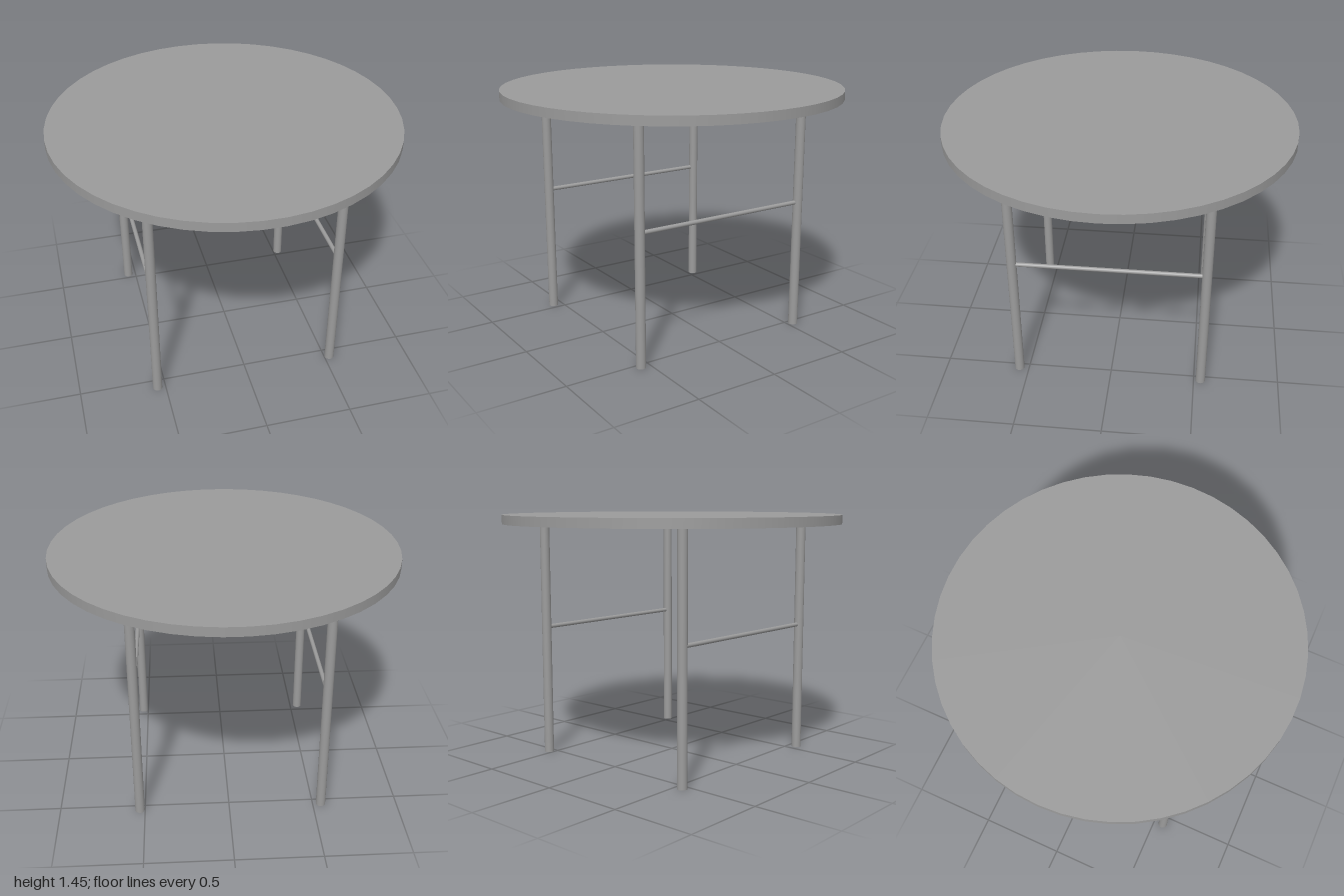
import * as THREE from 'three';

const TOP_Y = 1.445, THICKNESS = 0.053, LEG_R = 0.028, RAIL_R = 0.0125, RAIL_Y = 0.774;
const LEG_X = [-0.548, 0.53];
const LEG_Z = [-0.54, 0.557];

export function createModel() {
  const table = new THREE.Group();
  table.name = 'roundTable';
  const material = new THREE.MeshStandardMaterial({ color: 0x9b9b9b });

  const addCylinder = (name, radius, length, sides, x, y, z) => {
    const mesh = new THREE.Mesh(new THREE.CylinderGeometry(radius, radius, length, sides), material);
    mesh.name = name;
    mesh.position.set(x, y, z);
    table.add(mesh);
    return mesh;
  };

  // Round top, with corners of its outline on the x axis
  const top = addCylinder('tabletop', 1, THICKNESS, 50, 0, TOP_Y - THICKNESS / 2, 0);
  top.rotation.y = Math.PI / 2;

  const legHeight = TOP_Y - THICKNESS;
  const railLength = LEG_Z[1] - LEG_Z[0] - 2 * LEG_R + 0.01;
  for (const x of LEG_X) {
    const side = x > 0 ? 'left' : 'right';
    // Front and back legs
    for (const z of LEG_Z) {
      addCylinder(`${side}${z > 0 ? 'Front' : 'Back'}Leg`, LEG_R, legHeight, 24, x, legHeight / 2, z);
    }
    // Rail joining the two legs of this side
    const rail = addCylinder(`${side}Rail`, RAIL_R, railLength, 16, x, RAIL_Y, (LEG_Z[0] + LEG_Z[1]) / 2);
    rail.rotation.x = Math.PI / 2;
  }
  return table;
}
